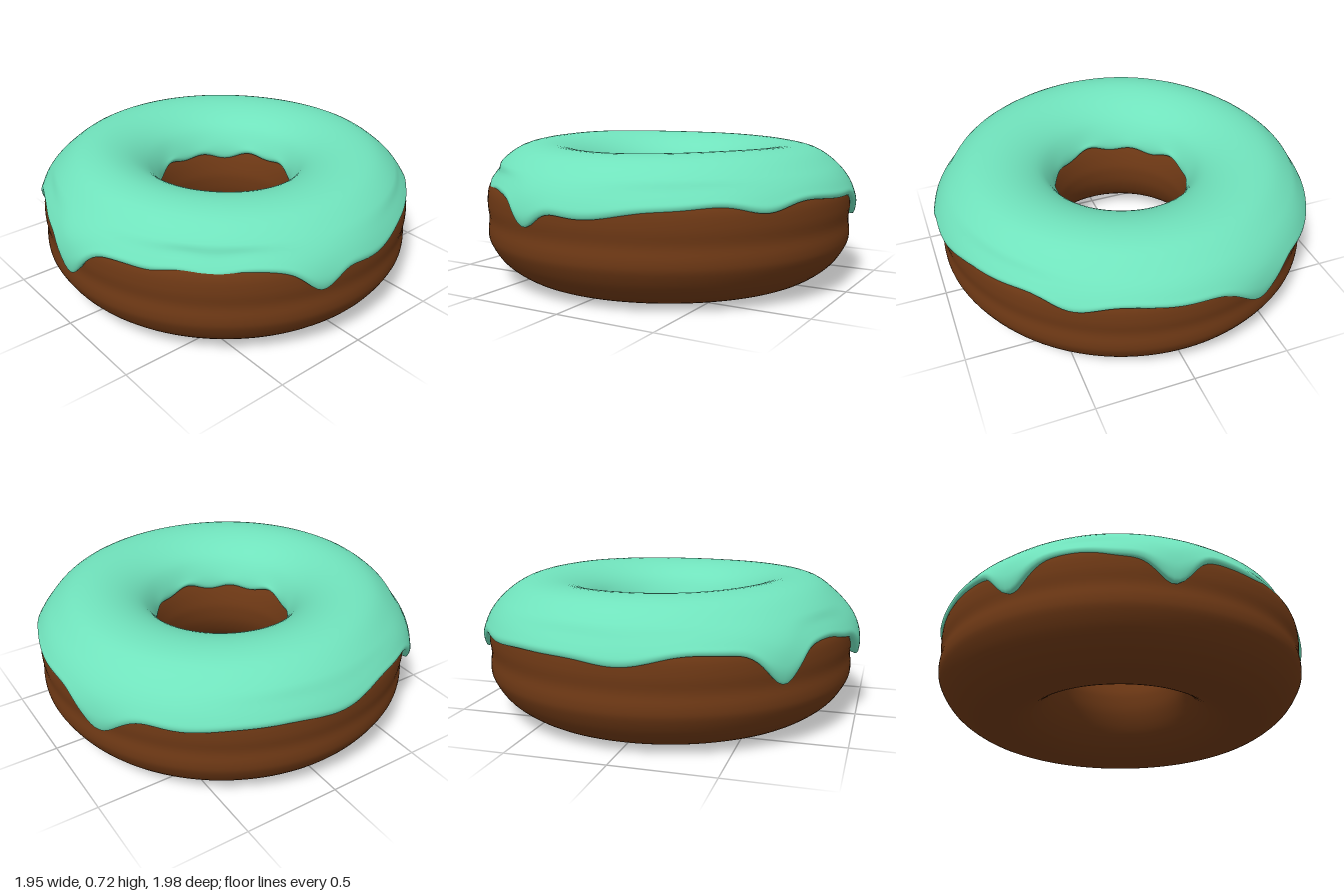
import * as THREE from 'three';

const DEG = Math.PI / 180;

// Smooth bump around one direction; angles in degrees, 0 = front, 90 = +x
function bump(angle, centre, width) {
  const d = ((angle - centre + 540) % 360 + 360) % 360 - 180;
  return Math.exp(-((d / width) ** 2));
}

// Drips and dips of the outer icing rim: [direction, depth, half-width]
const drips = [
  [-43, 0.16, 7], [2.5, 0.17, 7], [77, 0.1, 6], [202, 0.14, 9],
  [-12, 0.03, 8], [-90, 0.05, 14], [30, 0.015, 6], [47, 0.015, 6],
  [95, 0.055, 20], [146, 0.03, 8], [230, 0.045, 25], [185, 0.02, 12],
];

function outerRim(a) {
  let y = 0.495 + 0.004 * Math.sin(a * 14 * DEG);
  for (const [centre, depth, width] of drips) y -= depth * bump(a, centre, width);
  return Math.max(y, 0.315);
}

function innerRim(a) {
  return 0.46 + 0.012 * Math.sin(a * 9 * DEG) + 0.012 * Math.sin((a * 4 + 50) * DEG);
}

// One icing cross-section, from the inner rim over the top to the outer rim
function icingSection(a) {
  const inner = innerRim(a);
  const rim = outerRim(a);
  const lift = 0.026 * bump(a, -25, 40) + 0.005 * Math.sin(a * 3 * DEG);
  const wave = 0.006 * Math.sin((a * 5 + 40) * DEG) + 0.014 * bump(a, 185, 25)
    + 0.012 * bump(a, 2, 12) + 0.012 * bump(a, -43, 18) - 0.012 * bump(a, 45, 18);
  const outerR = y => 0.985 + wave - 2.6 * Math.max(0, y - 0.4) ** 2;
  const points = [
    [0.39, inner + 0.015], [0.365, inner], [0.349, inner + 0.02], [0.362, 0.525],
    [0.42, 0.61], [0.52, 0.668 + lift * 0.6], [0.65, 0.693 + lift],
    [0.78, 0.673 + lift * 0.8], [0.885, 0.602 + lift * 0.3],
  ];
  for (const t of [0.35, 0.7, 0.9]) {
    const y = THREE.MathUtils.lerp(0.602, rim, t);
    points.push([outerR(y), y]);
  }
  const edge = outerR(rim);
  points.push([edge - 0.012, rim - 0.008], [edge - 0.035, rim - 0.004], [0.92, rim + 0.02]);
  return new THREE.CatmullRomCurve3(points.map(([r, y]) => new THREE.Vector3(r, y, 0)));
}

function icingGeometry(around = 240, across = 56) {
  const positions = [];
  const indices = [];
  for (let i = 0; i < around; i++) {
    const a = (i / around) * 360;
    const curve = icingSection(a);
    for (let j = 0; j <= across; j++) {
      const p = curve.getPoint(j / across);
      positions.push(p.x * Math.sin(a * DEG), p.y, p.x * Math.cos(a * DEG));
      if (j === across) continue;
      const p0 = i * (across + 1) + j;
      const p1 = ((i + 1) % around) * (across + 1) + j;
      indices.push(p0, p0 + 1, p1, p1, p0 + 1, p1 + 1);
    }
  }
  const geometry = new THREE.BufferGeometry();
  geometry.setAttribute('position', new THREE.Float32BufferAttribute(positions, 3));
  geometry.setIndex(indices);
  geometry.computeVertexNormals();
  return geometry;
}

// Dough ring: flat underneath, funnel-like hole, slight waist on the outside
function doughGeometry() {
  const profile = [
    [0.65, 0.655], [0.53, 0.63], [0.44, 0.57], [0.375, 0.47], [0.343, 0.37],
    [0.338, 0.3], [0.355, 0.21], [0.41, 0.11], [0.5, 0.035], [0.6, 0.003],
    [0.69, 0.002], [0.79, 0.028], [0.89, 0.1], [0.95, 0.19], [0.962, 0.25],
    [0.955, 0.32], [0.962, 0.4], [0.947, 0.49], [0.87, 0.575], [0.77, 0.635], [0.65, 0.655],
  ].map(([r, y]) => new THREE.Vector2(r, y));
  return new THREE.LatheGeometry(new THREE.SplineCurve(profile).getPoints(80), 128);
}

export function createModel() {
  const group = new THREE.Group();
  group.name = 'doughnut';

  const dough = new THREE.Mesh(doughGeometry(), new THREE.MeshStandardMaterial({ color: 0x6f3915 }));
  dough.name = 'dough';

  const icing = new THREE.Mesh(
    icingGeometry(),
    new THREE.MeshStandardMaterial({ color: 0x70e2bc, side: THREE.DoubleSide }),
  );
  icing.name = 'icing';

  group.add(dough, icing);
  return group;
}
